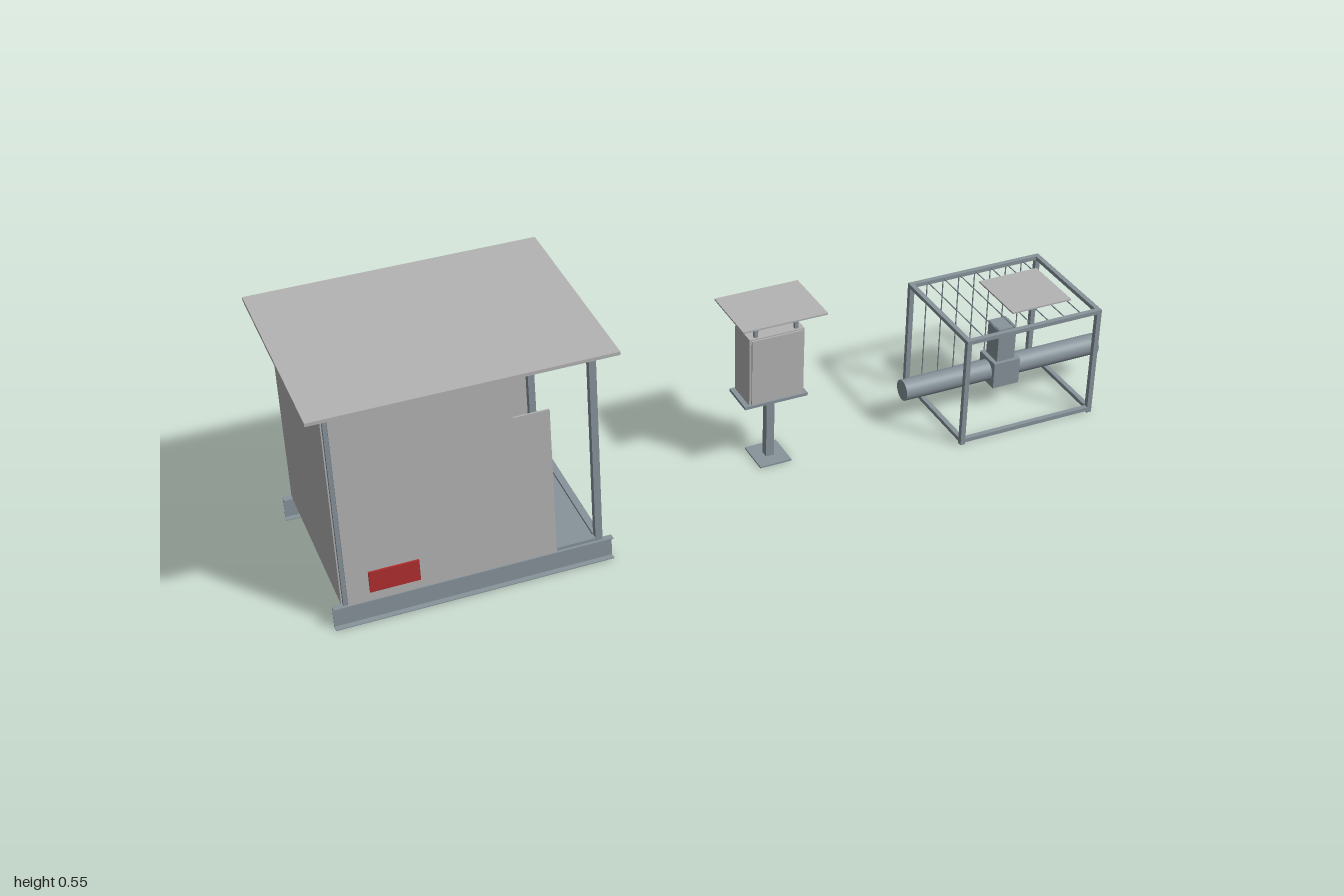
import * as THREE from 'three';

const panelGrey = new THREE.MeshStandardMaterial({ color: 0xb4b4b4 });
panelGrey.name = 'panelGrey';
const steel = new THREE.MeshStandardMaterial({ color: 0x87939b });
steel.name = 'steel';
const signRed = new THREE.MeshStandardMaterial({ color: 0xb03030 });
signRed.name = 'signRed';

// Box given by its limits on each axis
function box(parent, name, mat, x0, x1, y0, y1, z0, z1) {
  const m = new THREE.Mesh(new THREE.BoxGeometry(x1 - x0, y1 - y0, z1 - z0), mat);
  m.position.set((x0 + x1) / 2, (y0 + y1) / 2, (z0 + z1) / 2);
  m.name = name;
  parent.add(m);
  return m;
}

function rod(parent, name, mat, r, length, axis, x, y, z, sides = 6) {
  const m = new THREE.Mesh(new THREE.CylinderGeometry(r, r, length, sides), mat);
  if (axis === 'x') m.rotation.z = Math.PI / 2;
  if (axis === 'z') m.rotation.x = Math.PI / 2;
  m.position.set(x, y, z);
  m.name = name;
  parent.add(m);
  return m;
}

// Square-tube frame: four posts plus rails at the bottom and top
function tubeFrame(parent, name, t, x0, x1, y0, y1, z0, z1, railBottom, railH) {
  for (const x of [x0, x1 - t]) {
    for (const z of [z0, z1 - t]) box(parent, name + 'Post', steel, x, x + t, y0, y1, z, z + t);
  }
  for (const y of [railBottom, y1 - railH]) {
    for (const z of [z0, z1 - t]) box(parent, name + 'LongRail', steel, x0 + t, x1 - t, y, y + railH, z, z + t);
    for (const x of [x0, x1 - t]) box(parent, name + 'CrossRail', steel, x, x + t, y, y + railH, z0 + t, z1 - t);
  }
}

function createShelter() {
  const g = new THREE.Group();
  g.name = 'shelter';

  // Channel skids, both opening towards the front
  for (const z of [0.211, -0.211]) {
    box(g, 'skidWeb', steel, -0.98, -0.355, 0, 0.055, z, z + 0.002);
    for (const y of [0, 0.053]) box(g, 'skidFlange', steel, -0.98, -0.355, y, y + 0.002, z, z + 0.015);
  }
  box(g, 'floor', steel, -0.957, -0.378, 0.045, 0.056, -0.219, 0.219);
  tubeFrame(g, 'shelterFrame', 0.016, -0.957, -0.378, 0.053, 0.547, -0.219, 0.219, 0.053, 0.009);
  box(g, 'roof', panelGrey, -1, -0.34, 0.545, 0.553, -0.263, 0.263);

  // Front wall with a stepped opening at its end
  const s = new THREE.Shape();
  [[-0.948, 0.053], [-0.485, 0.053], [-0.485, 0.425], [-0.565, 0.425], [-0.565, 0.545], [-0.948, 0.545]]
    .forEach(([x, y], i) => (i ? s.lineTo(x, y) : s.moveTo(x, y)));
  const front = new THREE.Mesh(new THREE.ExtrudeGeometry(s, { depth: 0.004, bevelEnabled: false }), panelGrey);
  front.position.z = 0.219;
  front.name = 'frontWall';
  g.add(front);
  box(g, 'backWall', panelGrey, -0.948, -0.388, 0.053, 0.545, -0.223, -0.219);
  box(g, 'endWall', panelGrey, -0.96, -0.956, 0.053, 0.545, -0.21, 0.21);
  box(g, 'sign', signRed, -0.9, -0.79, 0.08, 0.132, 0.226, 0.23);

  // Equipment cabinets inside
  box(g, 'tallCabinet', steel, -0.87, -0.75, 0.072, 0.353, -0.13, -0.042);
  box(g, 'shortCabinet', steel, -0.68, -0.56, 0.072, 0.317, -0.13, -0.042);
  return g;
}

function createPoleBox() {
  const g = new THREE.Group();
  g.name = 'poleBox';
  box(g, 'footPlate', steel, 0.08, 0.16, 0, 0.004, -0.044, 0.044);
  box(g, 'pole', steel, 0.11, 0.13, 0.004, 0.173, -0.01, 0.01);
  box(g, 'shelf', steel, 0.04, 0.198, 0.173, 0.18, -0.044, 0.044);
  box(g, 'housing', panelGrey, 0.052, 0.188, 0.18, 0.355, -0.04, 0.04);
  box(g, 'housingDoor', panelGrey, 0.057, 0.183, 0.183, 0.352, 0.04, 0.044);
  for (const x of [0.066, 0.166]) {
    for (const z of [-0.031, 0.031]) box(g, 'roofPost', steel, x, x + 0.009, 0.355, 0.403, z - 0.004, z + 0.004);
  }
  box(g, 'canopy', panelGrey, 0.018, 0.226, 0.403, 0.407, -0.08, 0.08);
  return g;
}

function createValveCage() {
  const g = new THREE.Group();
  g.name = 'valveCage';
  tubeFrame(g, 'cage', 0.012, 0.553, 0.912, 0, 0.287, -0.147, 0.147, 0.005, 0.01);
  // Thin wires across the top and down the back
  for (let i = 1; i <= 7; i++) {
    const x = 0.559 + i * 0.0434;
    rod(g, 'topWire', steel, 0.0015, 0.28, 'z', x, 0.282, 0);
    rod(g, 'backWire', steel, 0.0015, 0.27, 'y', x, 0.147, -0.141);
  }
  box(g, 'cagePanel', panelGrey, 0.71, 0.868, 0.287, 0.291, -0.08, 0.08);

  // Pipe with valve body and actuator
  rod(g, 'pipe', steel, 0.026, 0.53, 'x', 0.735, 0.089, 0, 32);
  box(g, 'valveBody', steel, 0.7, 0.77, 0.055, 0.123, -0.035, 0.035);
  box(g, 'actuator', steel, 0.711, 0.758, 0.123, 0.212, -0.026, 0.026);
  return g;
}

export function createModel() {
  const model = new THREE.Group();
  model.name = 'meteringStation';
  model.add(createShelter(), createPoleBox(), createValveCage());
  return model;
}
